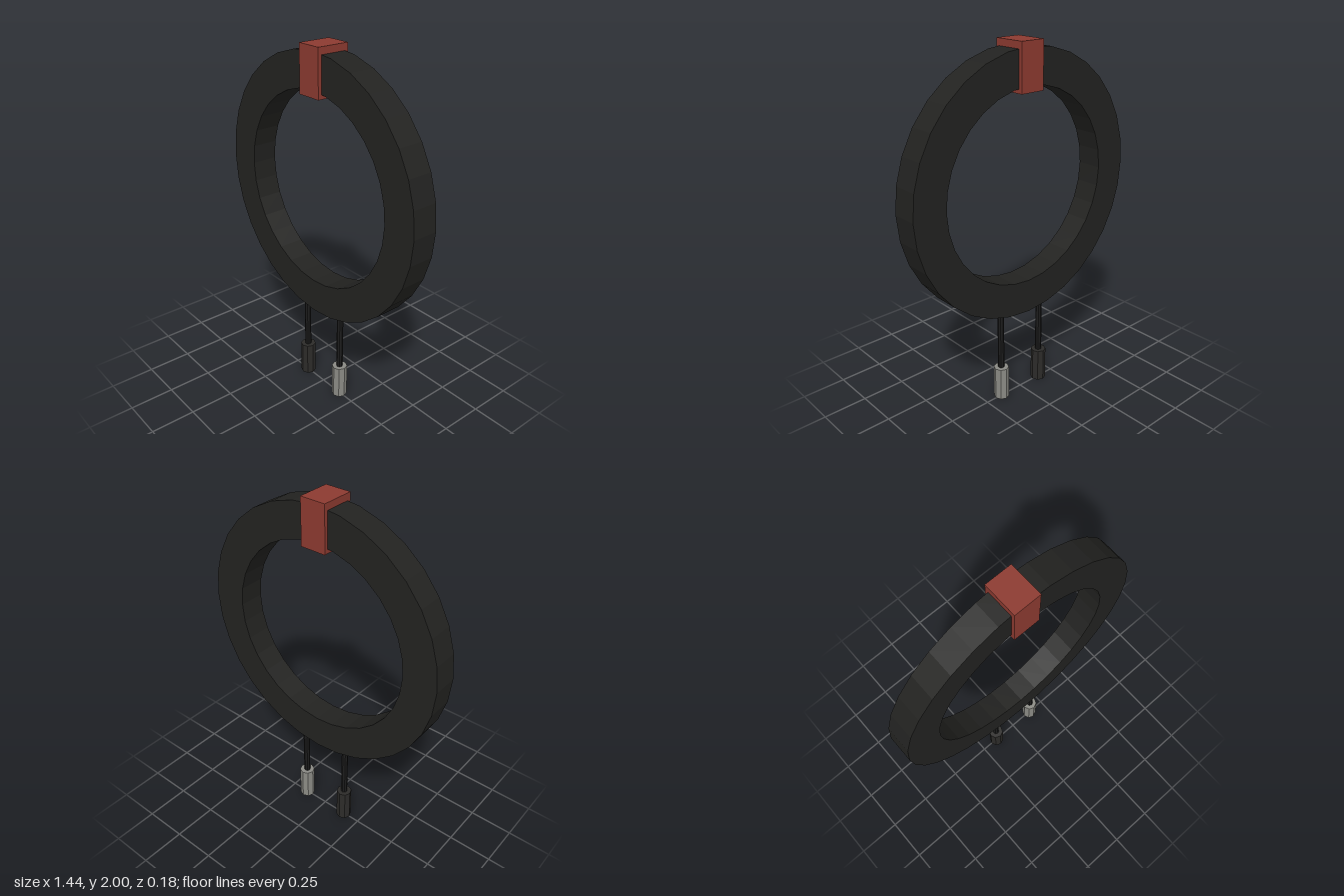
import * as THREE from 'three';

const RING_Y = 1.25, OUTER = 0.72, INNER = 0.53, DEPTH = 0.144, SIDES = 32;

function material(color) {
  return new THREE.MeshStandardMaterial({ color, flatShading: true });
}

function addPart(group, name, geometry, mat, x, y, z = 0) {
  const mesh = new THREE.Mesh(geometry, mat);
  mesh.name = name;
  mesh.position.set(x, y, z);
  group.add(mesh);
}

// Regular polygon outline with corners on the axes
function circlePoints(radius) {
  return Array.from({ length: SIDES }, (_, i) => {
    const a = (i / SIDES) * Math.PI * 2;
    return new THREE.Vector2(Math.cos(a) * radius, Math.sin(a) * radius);
  });
}

export function createModel() {
  const group = new THREE.Group();
  group.name = 'ringWithLeads';

  const black = material(0x222220);
  const red = material(0x8c3a30);
  const cable = material(0x1c1c1c);
  const darkMetal = material(0x2c2b29);
  const lightMetal = material(0x8a8a84);

  // Flat-faced ring
  const outline = new THREE.Shape(circlePoints(OUTER));
  outline.holes.push(new THREE.Path(circlePoints(INNER).reverse()));
  const ring = new THREE.ExtrudeGeometry(outline, { depth: DEPTH, bevelEnabled: false });
  addPart(group, 'ring', ring, black, 0, RING_Y, -DEPTH / 2);

  // Clip block around the top of the ring
  addPart(group, 'clip', new THREE.BoxGeometry(0.144, 0.25, 0.184), red, 0, 1.875);

  // Two leads with end connectors
  for (const side of [-1, 1]) {
    const name = side < 0 ? 'right' : 'left';
    const x = side * 0.144;
    addPart(group, name + 'Lead', new THREE.CylinderGeometry(0.018, 0.018, 0.38, 8), cable, x, 0.34);
    addPart(group, name + 'Connector', new THREE.CylinderGeometry(0.043, 0.043, 0.195, 8),
      side < 0 ? darkMetal : lightMetal, x, 0.0975);
  }
  return group;
}
